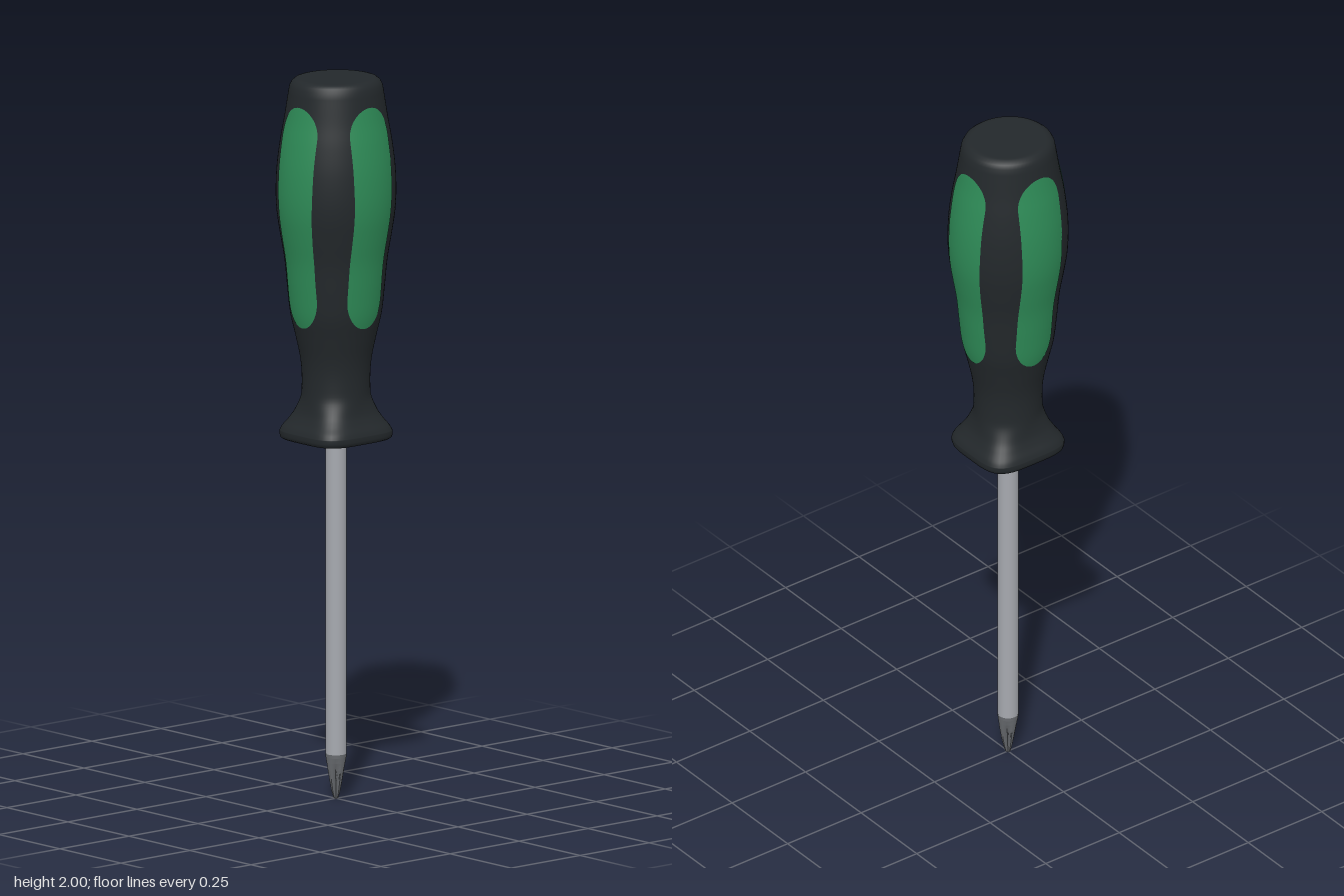
import * as THREE from 'three';

// Smooth surface from f(u, v): u runs right and v runs up, seen from outside
function surface(cols, rows, closed, f) {
  const pos = [], idx = [];
  const n = closed ? cols : cols + 1;
  for (let j = 0; j <= rows; j++)
    for (let i = 0; i < n; i++) pos.push(...f(i / cols, j / rows, j));
  for (let j = 0; j < rows; j++)
    for (let i = 0; i < cols; i++) {
      const a = j * n + i, b = j * n + (i + 1) % n;
      idx.push(a, b, b + n, a, b + n, a + n);
    }
  const g = new THREE.BufferGeometry();
  g.setAttribute('position', new THREE.Float32BufferAttribute(pos, 3));
  g.setIndex(idx);
  g.computeVertexNormals();
  return g;
}

function part(name, geometry, color, extra = {}) {
  const m = new THREE.Mesh(geometry, new THREE.MeshStandardMaterial({ color, ...extra }));
  m.name = name;
  return m;
}

// Side of the handle as [radius, height], from guard to butt
const SIDE = [
  [0.132, 1.022], [0.126, 1.035], [0.113, 1.055], [0.102, 1.08], [0.096, 1.12],
  [0.095, 1.18], [0.1, 1.23], [0.113, 1.29], [0.127, 1.35], [0.135, 1.42],
  [0.143, 1.5], [0.155, 1.57], [0.164, 1.63], [0.167, 1.69], [0.164, 1.76],
  [0.155, 1.83], [0.144, 1.89], [0.136, 1.94], [0.132, 1.965],
];
const side = new THREE.SplineCurve(SIDE.map(p => new THREE.Vector2(...p))).getPoints(90);

function radiusAt(y) {
  const k = Math.max(1, side.findIndex(p => p.y >= y));
  const a = side[k - 1], b = side[k];
  return THREE.MathUtils.mapLinear(y, a.y, b.y, a.x, b.x);
}

// Point on the handle: slightly oval, turning into a rounded square at the guard
function handlePoint(angle, r, y) {
  const s = Math.sin(angle), c = Math.cos(angle);
  const n = 4 - 2 * THREE.MathUtils.smoothstep(y, 1.03, 1.13);
  const k = r * (Math.abs(s) ** n + Math.abs(c) ** n) ** (-1 / n);
  return [k * s, y, k * c * 0.955];
}

function makeHandle() {
  const v = (x, y) => new THREE.Vector2(x, y);
  const profile = [
    v(0, 1), v(0.118, 1), v(0.124, 1), v(0.13, 1.004), v(0.132, 1.012),
    ...side,
    v(0.129, 1.98), v(0.123, 1.991), v(0.114, 1.998), v(0.105, 2), v(0.098, 2), v(0, 2),
  ];
  return part('handle', surface(72, profile.length - 1, true, (u, t, j) =>
    handlePoint(u * Math.PI * 2, profile[j].x, profile[j].y)), 0x23282b);
}

// Soft grip inlay: long rounded patch following the handle, a little wider at the top
function makeGrip(turn) {
  const y0 = 1.32, y1 = 1.935, cap = 0.085;
  return surface(14, 60, false, (u, t) => {
    const y = y0 + (y1 - y0) * (1 - Math.cos(Math.PI * t)) / 2;
    const d = Math.max(0, 1 - Math.min(y - y0, y1 - y) / cap);
    const half = (0.06 + 0.01 * THREE.MathUtils.smoothstep(y, 1.45, 1.75)) * Math.sqrt(Math.max(0, 1 - d * d));
    const r = radiusAt(y);
    const twist = 0.04 * THREE.MathUtils.smoothstep(y, 1.45, 1.7);
    return handlePoint(turn + twist + Math.asin(half / r) * (2 * u - 1), r + 0.0015, y);
  });
}

// Cross tip: tapering round section with four grooves that deepen downwards
function makeTip() {
  const rings = [[0, 0], [0.004, 0], [0.008, 0.003], [0.014, 0.022], [0.02, 0.05],
    [0.025, 0.08], [0.027, 0.1], [0.028, 0.115], [0.028, 0.127]];
  const g = surface(64, rings.length - 1, true, (u, t, j) => {
    const [r, y] = rings[j];
    const a = u * Math.PI * 2;
    const depth = 0.62 * (1 - THREE.MathUtils.smoothstep(y, 0.03, 0.12));
    const groove = Math.max(0, 1 - Math.abs((a % (Math.PI / 2)) - Math.PI / 4) / 0.55);
    const k = r * (1 - depth * groove);
    return [k * Math.sin(a), y, k * Math.cos(a)];
  });
  return part('crossTip', g, 0x66696d, { flatShading: true });
}

export function createModel() {
  const model = new THREE.Group();
  model.name = 'screwdriver';

  model.add(makeHandle());

  // Four inlays around the handle
  ['front', 'left', 'back', 'right'].forEach((where, i) =>
    model.add(part(where + 'Grip', makeGrip(i * Math.PI / 2), 0x2e8b57, { side: THREE.DoubleSide })));

  // Steel shaft, its top set into the handle
  const shaft = part('shaft', new THREE.CylinderGeometry(0.0285, 0.0285, 0.93, 32), 0xa6a9af);
  shaft.position.y = 0.125 + 0.465;
  model.add(shaft);

  model.add(makeTip());
  return model;
}
